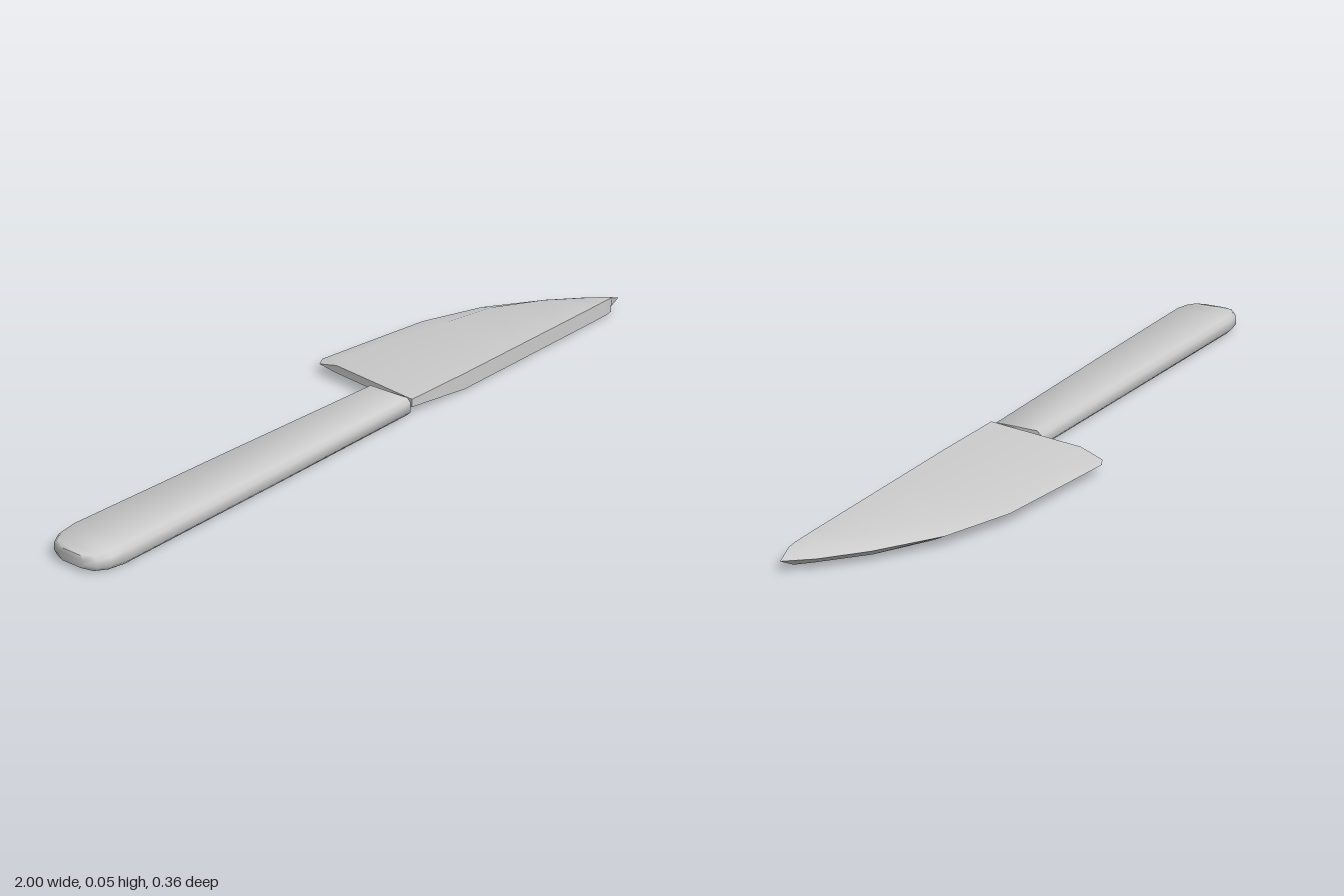
import * as THREE from 'three';
import { toCreasedNormals } from 'three/addons/utils/BufferGeometryUtils.js';

// Skins closed cross-sections that follow one another towards +x, and caps both ends.
function loft(name, sections, crease) {
  const n = sections[0].length;
  const last = sections.length - 1;
  const index = [];
  for (let k = 0; k < last; k++) {
    for (let i = 0; i < n; i++) {
      const j = (i + 1) % n;
      const a = k * n, b = a + n;
      index.push(a + i, b + i, b + j, a + i, b + j, a + j);
    }
  }
  for (let i = 1; i < n - 1; i++) {
    index.push(0, i, i + 1);
    index.push(last * n, last * n + i + 1, last * n + i);
  }
  const geometry = new THREE.BufferGeometry();
  geometry.setAttribute('position', new THREE.Float32BufferAttribute(sections.flat(2), 3));
  geometry.setIndex(index);
  const mesh = new THREE.Mesh(
    toCreasedNormals(geometry, crease),
    new THREE.MeshStandardMaterial({ color: 0xcccccc, side: THREE.DoubleSide })
  );
  mesh.name = name;
  return mesh;
}

// Rectangle across the handle with chamfered corners
function handleSection([x, zBack, zFront, y0, y1]) {
  const c = 0.011;
  return [
    [x, y1 - c, zFront], [x, y1, zFront - c], [x, y1, zBack + c], [x, y1 - c, zBack],
    [x, y0 + c, zBack], [x, y0, zBack + c], [x, y0, zFront - c], [x, y0 + c, zFront],
  ];
}

// Blade section: thick spine, flat sides, bevel down to the cutting edge
function bladeSection([spineX, spineZ, bevelX, bevelZ, edgeX, edgeZ, y0, y1]) {
  return [
    [spineX, y1, spineZ],
    [bevelX, y1, bevelZ],
    [edgeX, 0.03, edgeZ],
    [bevelX, y0, bevelZ],
    [spineX, y0, spineZ],
  ];
}

export function createModel() {
  const group = new THREE.Group();
  group.name = 'knife';

  // Handle with a rounded butt, narrowing towards the blade: x, zBack, zFront, y0, y1
  const handle = [
    [-1.0, 0.05, 0.13, 0.01, 0.041],
    [-0.985, 0.022, 0.155, 0.005, 0.044],
    [-0.955, 0.005, 0.17, 0.002, 0.046],
    [-0.91, 0.0, 0.176, 0, 0.048],
    [-0.4, 0.016, 0.174, 0, 0.048],
    [0.09, 0.032, 0.17, 0, 0.047],
  ].map(handleSection);
  group.add(loft('handle', handle, 1.0));

  // Blade from heel to tip; the underside rises towards the heel
  const blade = [
    [0.09, 0.174, 0.13, -0.1, 0.14, -0.165, 0.026, 0.047],
    [0.2, 0.176, 0.18, -0.125, 0.17, -0.18, 0.014, 0.047],
    [0.3, 0.178, 0.3, -0.105, 0.3, -0.165, 0.003, 0.047],
    [0.53, 0.178, 0.53, -0.06, 0.53, -0.137, 0.003, 0.047],
    [0.7, 0.178, 0.69, -0.03, 0.71, -0.075, 0.003, 0.047],
    [0.85, 0.178, 0.82, 0.045, 0.86, 0.025, 0.003, 0.047],
    [0.93, 0.177, 0.92, 0.135, 0.95, 0.105, 0.003, 0.047],
    [0.955, 0.176, 0.955, 0.165, 1.0, 0.168, 0.005, 0.045],
  ].map(bladeSection);
  group.add(loft('blade', blade, 0.5));

  return group;
}
